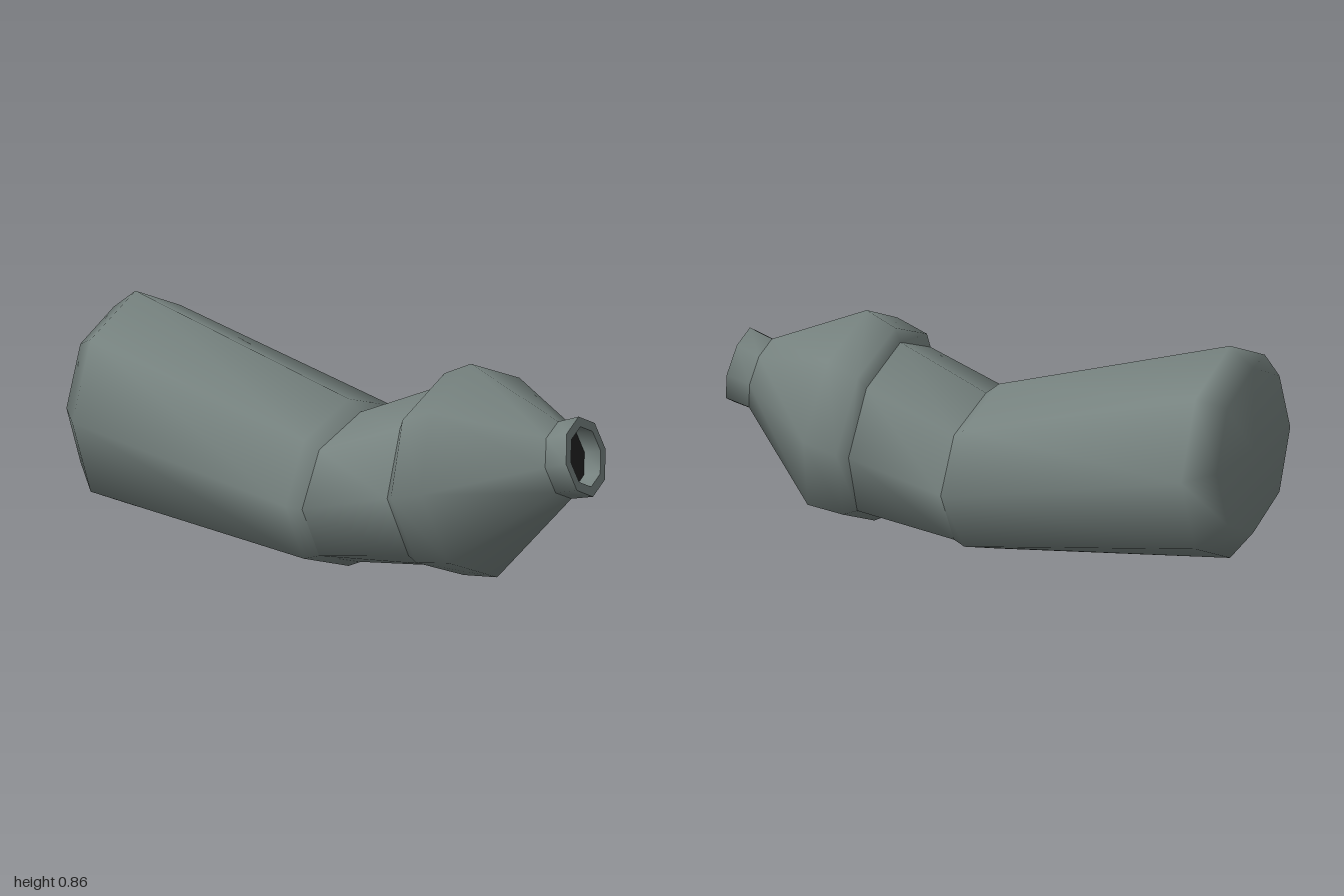
import * as THREE from 'three';

const SIDES = 8;

// Skin of tilted eight-sided rings; each ring is [topX, topY, bottomX, bottomY, halfWidth]
function loft(rings, capStart = false) {
  const pos = [], index = [];
  for (const [tx, ty, bx, by, w] of rings) {
    for (let j = 0; j < SIDES; j++) {
      const a = (j / SIDES) * Math.PI * 2, c = Math.cos(a) / 2;
      pos.push((tx + bx) / 2 + (tx - bx) * c, (ty + by) / 2 + (ty - by) * c, w * Math.sin(a));
    }
  }
  for (let i = 0; i < rings.length - 1; i++) {
    for (let j = 0; j < SIDES; j++) {
      const k = (j + 1) % SIDES, p = i * SIDES, q = p + SIDES;
      index.push(p + j, p + k, q + k, p + j, q + k, q + j);
    }
  }
  if (capStart) {
    const [tx, ty, bx, by] = rings[0], centre = pos.length / 3;
    pos.push((tx + bx) / 2, (ty + by) / 2, 0);
    for (let j = 0; j < SIDES; j++) index.push(centre, (j + 1) % SIDES, j);
  }
  const g = new THREE.BufferGeometry();
  g.setAttribute('position', new THREE.Float32BufferAttribute(pos, 3));
  g.setIndex(index);
  g.computeVertexNormals();
  return g;
}

export function createModel() {
  const group = new THREE.Group();
  const shell = new THREE.MeshStandardMaterial({ color: 0x76827f });
  shell.name = 'grey green shell';
  const dark = new THREE.MeshStandardMaterial({ color: 0x222222 });
  dark.name = 'dark opening';

  const add = (name, geometry, material = shell) => {
    const mesh = new THREE.Mesh(geometry, material);
    mesh.name = name;
    group.add(mesh);
  };

  // Rings shared between neighbouring parts
  const groove = [0.03, 0.565, 0.03, 0.025, 0.37];
  const waistEnd = [0.36, 0.705, 0.41, 0.065, 0.37];
  const neckBase = [0.855, 0.65, 0.91, 0.38, 0.125];
  const lip = [0.94, 0.68, 1.0, 0.4, 0.125];
  const lipInner = [0.9475, 0.645, 0.9925, 0.435, 0.094];
  const recess = [0.8795, 0.631, 0.9245, 0.421, 0.094];

  // Lower body with bevelled base
  add('lowerBody', loft([
    [-1, 0.795, -1, 0.195, 0.3],
    [-0.91, 0.865, -0.91, 0.09, 0.4],
    [-0.02, 0.605, -0.02, 0.003, 0.4],
    groove,
  ], true));

  // Bent waist
  add('waist', loft([groove, waistEnd]));

  // Upper body tapering to the neck
  add('shoulder', loft([
    waistEnd,
    [0.38, 0.755, 0.46, 0.04, 0.4],
    [0.49, 0.805, 0.6, 0.052, 0.4],
    neckBase,
  ]));

  // Neck, rim and hollow mouth
  add('neck', loft([neckBase, lip]));
  add('rim', loft([lip, lipInner]));
  add('mouthWall', loft([lipInner, recess]));
  const [tx, ty, bx, by] = recess;
  const cx = (tx + bx) / 2, cy = (ty + by) / 2;
  add('mouthOpening', loft([recess, [cx, cy, cx, cy, 0]]), dark);

  return group;
}
